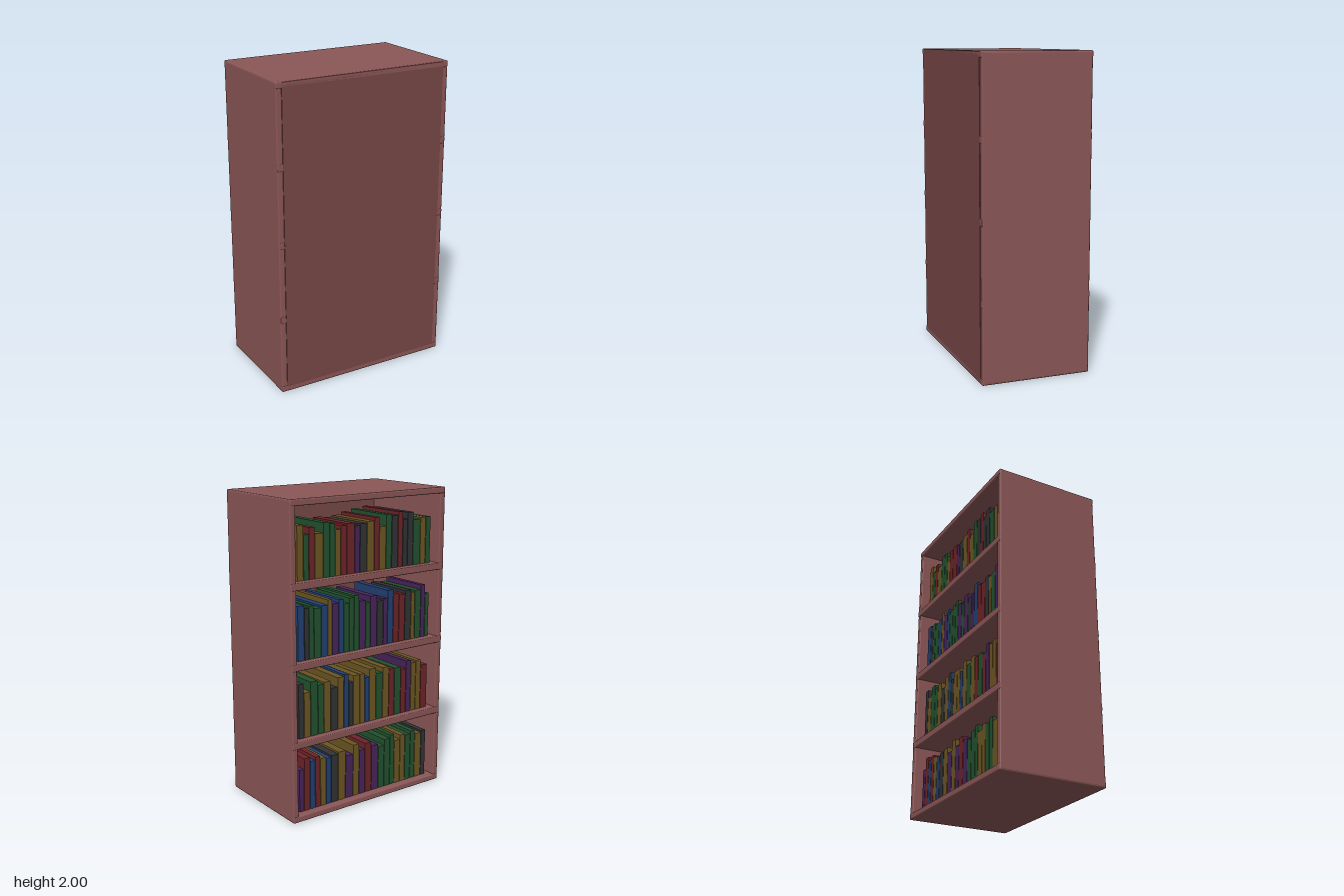
import * as THREE from 'three';
import { RoundedBoxGeometry } from 'three/addons/geometries/RoundedBoxGeometry.js';

const material = (color) => new THREE.MeshStandardMaterial({ color });

// Small seeded generator for book thickness and depth
function seeded(seed) {
  return () => (seed = (seed * 16807) % 2147483647) / 2147483647;
}

export function createModel() {
  const model = new THREE.Group();
  const wood = material(0x8b5656);
  const panelWood = material(0x774846);

  function board(name, w, h, d, x, y, z, mat = wood, radius = 0.008) {
    const mesh = new THREE.Mesh(new RoundedBoxGeometry(w, h, d, 2, radius), mat);
    mesh.name = name;
    mesh.position.set(x, y, z);
    model.add(mesh);
  }

  // Carcass: sides, top, base and the closed panel on the +z side
  for (const s of [-1, 1]) {
    board(s > 0 ? 'leftSide' : 'rightSide', 0.04, 1.99, 0.704, s * 0.577, 1, 0);
  }
  board('top', 1.192, 0.04, 0.71, 0, 1.98, 0);
  board('base', 1.192, 0.04, 0.71, 0, 0.02, 0);
  const panel = new THREE.Mesh(new THREE.BoxGeometry(1.12, 1.994, 0.033), panelWood);
  panel.name = 'backPanel';
  panel.position.set(0, 1, 0.3385);
  model.add(panel);

  // Shelves, with edges standing slightly proud of the sides
  for (const y of [0.505, 1.0, 1.49]) board('shelf', 1.192, 0.044, 0.708, 0, y, 0, wood, 0.006);

  // Books: one letter per cover colour, one digit per height (0.26 + digit / 100)
  const covers = {
    r: material(0x6e2428), g: material(0x22522f), b: material(0x223f72),
    y: material(0x6b5522), p: material(0x472459), k: material(0x303234),
  };
  const rows = [
    { floor: 0.04, colors: 'prbrybkypyprpgggyyggyk', heights: '2968656739485379476856' },
    { floor: 0.527, colors: 'kyggykybkyybygyrgrpyyr', heights: '9396728937749586649784' },
    { floor: 1.022, colors: 'bkggbypbgggpgpkpbrrkygpg', heights: '867569685895373496575693' },
    { floor: 1.512, colors: 'ygryggyrrpkyrygkrkkgyg', heights: '7151762453457187948344' },
  ];
  const random = seeded(421);
  const front = -0.305, span = 1.04;
  rows.forEach(({ floor, colors, heights }, r) => {
    const row = new THREE.Group();
    row.name = `bookRow${r + 1}`;
    const weights = [...colors].map(() => 0.75 + 0.5 * random());
    const scale = span / weights.reduce((a, b) => a + b, 0);
    let x = span / 2;
    weights.forEach((weight, i) => {
      const width = weight * scale;
      const height = 0.26 + Number(heights[i]) / 100;
      const depth = 0.34 + 0.03 * random();
      const book = new THREE.Mesh(new THREE.BoxGeometry(width - 0.004, height, depth), covers[colors[i]]);
      book.name = 'book';
      book.position.set(x - width / 2, floor + height / 2, front + depth / 2);
      row.add(book);
      x -= width;
    });
    model.add(row);
  });

  return model;
}
